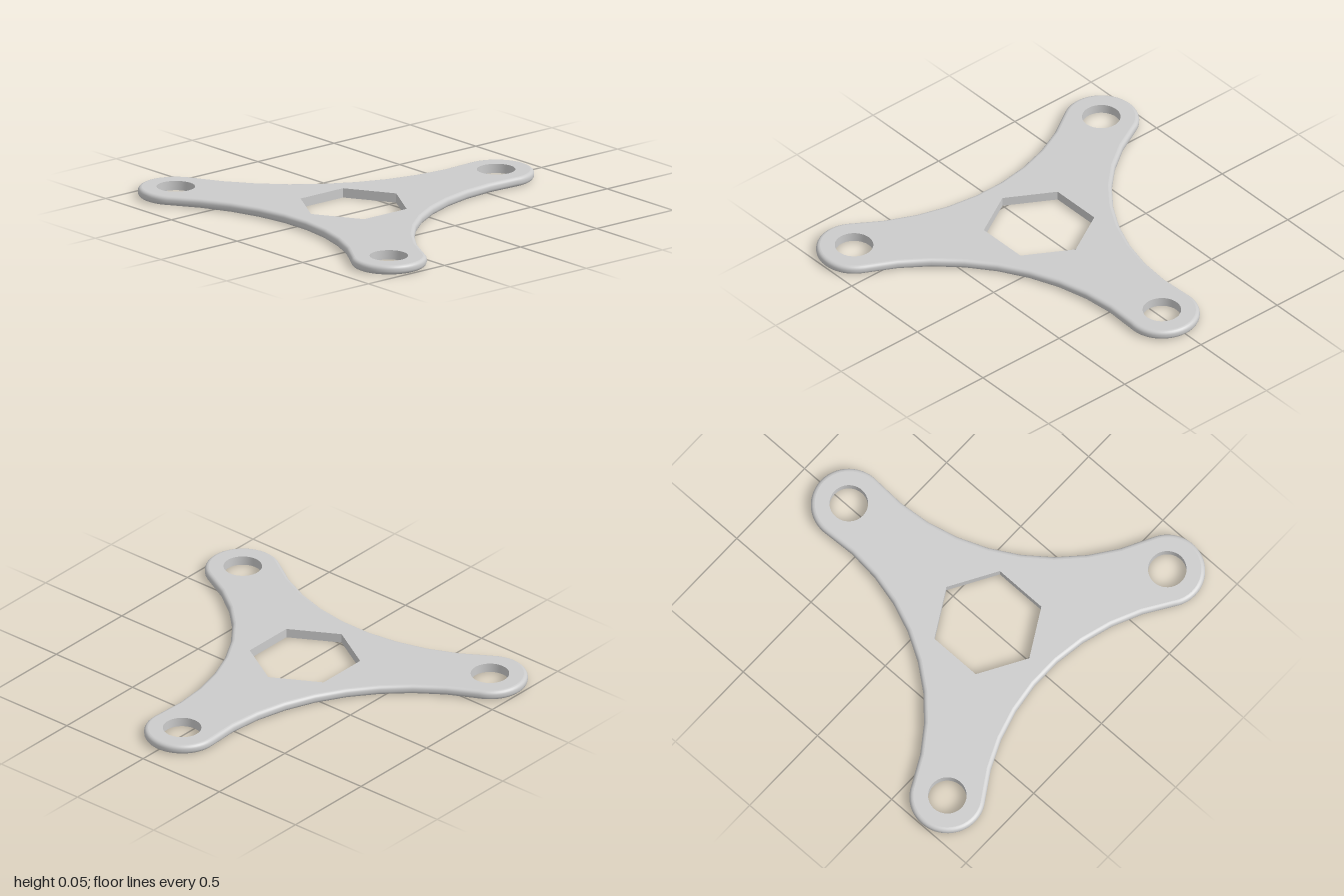
import * as THREE from 'three';

const H = 0.048, FILLET = 0.02;            // plate thickness, edge rounding
const ARM = 0.9365, CAP = 0.189;           // arm length to hole centre, tip radius
const WAIST = 1.17;                        // radius of the concave sides
const HEX = 0.2795, HOLE = 0.096;
const RAD = Math.PI / 180;
const CENTRE_Z = ARM / 4;

// concave arcs are tangent to the round tips
const half = ARM * Math.sin(60 * RAD);
const reach = Math.sqrt((WAIST + CAP) ** 2 - half ** 2);
const WAIST_DIST = ARM / 2 + reach;
const BETA = Math.atan2(half, reach);

const polar = (r, a, c = new THREE.Vector2()) =>
  new THREE.Vector2(c.x + r * Math.cos(a), c.y + r * Math.sin(a));

const ring = (r, n, c, start = 0) =>
  Array.from({ length: n }, (_, i) => polar(r, start + (i / n) * 2 * Math.PI, c));

const armAngles = [90, 210, 330].map(a => a * RAD);

// three-armed outline, moved inwards by d
function outline(d) {
  const pts = [], capSegs = 28, arcSegs = 9;
  for (const a of armAngles) {
    const tip = polar(ARM, a), sweep = 60 * RAD + BETA;
    for (let i = 0; i <= capSegs; i++)
      pts.push(polar(CAP - d, a + sweep * (2 * i / capSegs - 1), tip));
    const c = polar(WAIST_DIST, a + 60 * RAD);
    for (let i = 1; i < arcSegs; i++)
      pts.push(polar(WAIST + d, a + 240 * RAD + BETA * (1 - 2 * i / arcSegs), c));
  }
  return pts;
}

// wall joining closed loops of equal length, listed from bottom to top
function loft(loops) {
  const n = loops[0].pts.length, pos = [], idx = [];
  for (const { pts, y } of loops) for (const p of pts) pos.push(p.x, y, -p.y);
  for (let k = 0; k < loops.length - 1; k++) {
    for (let i = 0; i < n; i++) {
      const j = (i + 1) % n, a = k * n + i, b = k * n + j;
      idx.push(a, b, b + n, a, b + n, a + n);
    }
  }
  const g = new THREE.BufferGeometry();
  g.setAttribute('position', new THREE.Float32BufferAttribute(pos, 3));
  g.setIndex(idx);
  g.computeVertexNormals();
  return g;
}

export function createModel() {
  const group = new THREE.Group();
  group.name = 'threeArmPlate';
  const mat = new THREE.MeshStandardMaterial({ color: 0xcccccc });
  const flat = new THREE.MeshStandardMaterial({ color: 0xcccccc, flatShading: true });
  const add = (name, geo, m = mat) => {
    const mesh = new THREE.Mesh(geo, m);
    mesh.name = name;
    mesh.position.z = CENTRE_Z;
    group.add(mesh);
  };

  const hex = ring(HEX, 6, undefined, 90 * RAD);
  const holes = armAngles.map(a => ring(HOLE, 48, polar(ARM, a)));

  // flat faces with the openings cut out
  const shape = new THREE.Shape(outline(FILLET));
  for (const h of [hex, ...holes]) shape.holes.push(new THREE.Path(h));
  const top = new THREE.ShapeGeometry(shape).rotateX(-Math.PI / 2);
  const bottom = top.clone();
  bottom.setIndex(Array.from(top.index.array).reverse());
  bottom.computeVertexNormals();
  add('topFace', top.translate(0, H, 0));
  add('bottomFace', bottom);

  // rounded outer edge
  const loops = [], steps = 5;
  for (const side of [-1, 1]) {
    for (let i = 0; i <= steps; i++) {
      const t = (side < 0 ? 1 - i / steps : i / steps) * Math.PI / 2;
      loops.push({
        pts: outline(FILLET * (1 - Math.cos(t))),
        y: H / 2 + side * (H / 2 - FILLET + FILLET * Math.sin(t)),
      });
    }
  }
  add('outerEdge', loft(loops));

  // inner walls of the openings
  const wall = pts => {
    const r = [...pts].reverse();
    return loft([{ pts: r, y: 0 }, { pts: r, y: H }]);
  };
  add('hexOpening', wall(hex), flat);
  holes.forEach((h, i) => add('armHole' + (i + 1), wall(h)));
  return group;
}
